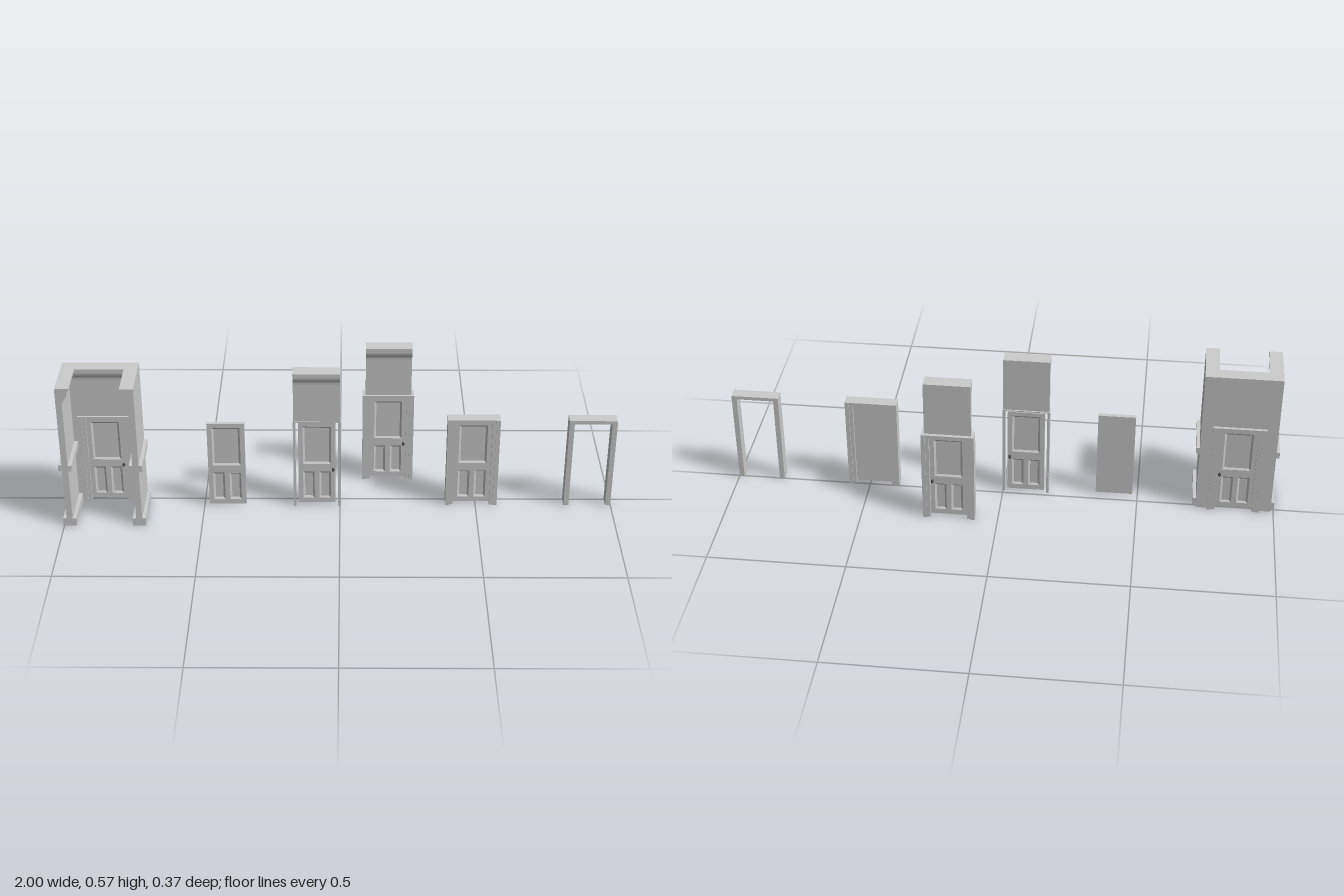
import * as THREE from 'three';

const material = new THREE.MeshStandardMaterial({ color: 0xcccccc });
const knobMaterial = new THREE.MeshStandardMaterial({ color: 0x444444 });
const WALL_H = 0.567, WALL_T = 0.025;

function add(parent, name, geometry, x = 0, y = 0, z = 0, mat = material) {
  const mesh = new THREE.Mesh(geometry, mat);
  mesh.name = name;
  mesh.position.set(x, y, z);
  parent.add(mesh);
  return mesh;
}

function group(parent, name, x = 0, y = 0, z = 0) {
  const g = new THREE.Group();
  g.name = name;
  g.position.set(x, y, z);
  parent.add(g);
  return g;
}

// Upside-down U standing on the ground: a wall with a doorway, or a door frame
function portal(outerHalf, outerTop, innerHalf, innerTop, depth) {
  const shape = new THREE.Shape([
    [-outerHalf, 0], [-innerHalf, 0], [-innerHalf, innerTop], [innerHalf, innerTop],
    [innerHalf, 0], [outerHalf, 0], [outerHalf, outerTop], [-outerHalf, outerTop],
  ].map(([x, y]) => new THREE.Vector2(x, y)));
  return new THREE.ExtrudeGeometry(shape, { depth, bevelEnabled: false });
}

// Coved cornice: profile in x (projection) and y, extruded along z
function corniceGeometry(length) {
  const s = new THREE.Shape();
  s.moveTo(0, 0.512);
  s.lineTo(0.005, 0.512);
  s.lineTo(0.006, 0.522);
  s.quadraticCurveTo(0.017, 0.528, 0.02, 0.546);
  s.lineTo(0.02, 0.557);
  s.lineTo(0.027, 0.559);
  s.lineTo(0.027, WALL_H);
  s.lineTo(0, WALL_H);
  s.closePath();
  return new THREE.ExtrudeGeometry(s, { depth: length, bevelEnabled: false, curveSegments: 6 });
}

function frontCornice(parent, width, z) {
  add(parent, 'cornice', corniceGeometry(width), width / 2, 0, z).rotation.y = -Math.PI / 2;
}

// Sloping moulding from a panel's edge down to its sunken field
function panelBevel(x0, y0, x1, y1, inset, depth) {
  const corners = (i, z) => [[x0 + i, y0 + i, z], [x1 - i, y0 + i, z], [x1 - i, y1 - i, z], [x0 + i, y1 - i, z]];
  const a = corners(0, 0), b = corners(inset, -depth), pos = [];
  for (let k = 0; k < 4; k++) {
    const n = (k + 1) % 4;
    pos.push(...a[k], ...a[n], ...b[n], ...a[k], ...b[n], ...b[k]);
  }
  const g = new THREE.BufferGeometry();
  g.setAttribute('position', new THREE.Float32BufferAttribute(pos, 3));
  g.computeVertexNormals();
  return g;
}

const DOOR = { half: 0.068, bottom: 0.008, top: 0.348, t: 0.016, sunk: 0.005 };
const PANELS = [
  [-0.051, 0.174, 0.051, 0.332],
  [-0.051, 0.028, -0.009, 0.142],
  [0.009, 0.028, 0.051, 0.142],
];

// Stiles and rails of one door face, with three sunken panels
function doorFace(parent) {
  const { half, bottom, top, t, sunk } = DOOR;
  const rect = (x0, y0, x1, y1, Type) => new Type([
    new THREE.Vector2(x0, y0), new THREE.Vector2(x1, y0), new THREE.Vector2(x1, y1), new THREE.Vector2(x0, y1)]);
  const face = rect(-half, bottom, half, top, THREE.Shape);
  PANELS.forEach(p => face.holes.push(rect(...p, THREE.Path)));
  add(parent, 'stilesAndRails', new THREE.ExtrudeGeometry(face, { depth: sunk, bevelEnabled: false }), 0, 0, t / 2 - sunk);
  PANELS.forEach(p => add(parent, 'panelMoulding', panelBevel(...p, 0.007, sunk), 0, 0, t / 2));
}

function knob(parent) {
  const pts = [[0, 0], [0.005, 0], [0.005, 0.002], [0.002, 0.003], [0.002, 0.005], [0.005, 0.007], [0.005, 0.009], [0.003, 0.011], [0, 0.011]];
  const g = new THREE.LatheGeometry(pts.map(p => new THREE.Vector2(...p)), 12);
  g.rotateX(Math.PI / 2);
  return add(parent, 'knob', g, 0.059, 0.153, DOOR.t / 2, knobMaterial);
}

function door(parent, z, twoSided, knobs) {
  const { half, bottom, top, t, sunk } = DOOR;
  const d = group(parent, 'door', 0, 0, z);
  const back = twoSided ? -t / 2 + sunk : -t / 2, front = t / 2 - sunk;
  add(d, 'doorCore', new THREE.BoxGeometry(2 * half, top - bottom, front - back), 0, (top + bottom) / 2, (front + back) / 2);
  doorFace(d);
  if (twoSided) {
    const rear = group(d, 'rearFace');
    rear.rotation.y = Math.PI;
    doorFace(rear);
    if (knobs) knob(rear).position.x = -0.059;
  }
  if (knobs) knob(d);
}

// Stepped casing around a door, with its back at z
function casing(parent, z) {
  const g = group(parent, 'doorCasing', 0, 0, z);
  add(g, 'outerCasing', portal(0.095, 0.361, 0.08, 0.353, 0.044));
  add(g, 'innerCasing', portal(0.08, 0.353, 0.067, 0.347, 0.036), 0, 0, 0.004);
}

export function createModel() {
  const model = new THREE.Group();
  model.name = 'doorAndWallSet';

  // Alcove: back wall with door, two side walls, trim and cornice
  const alcove = group(model, 'alcove', -0.853);
  const front = 0.183, inner = 0.115, outer = 0.137, backZ = -0.013, faceZ = 0.012;
  add(alcove, 'backWall', portal(outer, WALL_H, 0.083, 0.355, WALL_T), 0, 0, backZ);
  casing(alcove, -0.024);
  door(alcove, -0.001, true, true);
  for (const side of [-1, 1]) {
    add(alcove, 'sideWall', new THREE.BoxGeometry(outer - inner, WALL_H, front - faceZ),
      side * (outer + inner) / 2, WALL_H / 2, (front + faceZ) / 2);
    for (const [name, y0, y1] of [['baseboard', 0, 0.03], ['chairRail', 0.23, 0.255]]) {
      const h = y1 - y0, y = (y0 + y1) / 2;
      add(alcove, name + 'Outer', new THREE.BoxGeometry(0.013, h, front), side * (outer + 0.0065), y, front / 2);
      add(alcove, name + 'Inner', new THREE.BoxGeometry(0.013, h, front - faceZ), side * (inner - 0.0065), y, (front + faceZ) / 2);
    }
    const c = add(alcove, 'sideCornice', corniceGeometry(front - faceZ), side * inner, 0, side < 0 ? faceZ : front);
    if (side > 0) c.rotation.y = Math.PI;
  }
  frontCornice(alcove, 2 * inner, faceZ);

  // Loose single door with a plain back
  door(group(model, 'looseDoor', -0.413), 0.039, false, false);

  // Wall section with a narrow frame and a door hung in a clear gap
  const narrow = group(model, 'wallWithDoor', -0.084);
  add(narrow, 'wall', portal(0.084, WALL_H, 0.077, 0.354, WALL_T), 0, 0, 0.02);
  add(narrow, 'thinFrame', portal(0.086, 0.358, 0.077, 0.354, 0.032), 0, 0, 0.015);
  frontCornice(narrow, 0.168, 0.045);
  door(narrow, 0.0285, true, true);

  // Wall section with a cased door
  const cased = group(model, 'wallWithCasedDoor', 0.178);
  add(cased, 'wall', portal(0.084, WALL_H, 0.078, 0.355, WALL_T), 0, 0, -0.17);
  frontCornice(cased, 0.168, -0.145);
  casing(cased, -0.182);
  door(cased, -0.156, true, true);

  // Casing with a plain-backed door
  const doorSet = group(model, 'casedDoor', 0.484);
  casing(doorSet, -0.004);
  door(doorSet, 0.018, false, false);

  // Empty door frame
  add(group(model, 'emptyFrame', 0.913), 'doorFrame', portal(0.0865, 0.36, 0.068, 0.347, 0.044), 0, 0, -0.004);

  return model;
}
